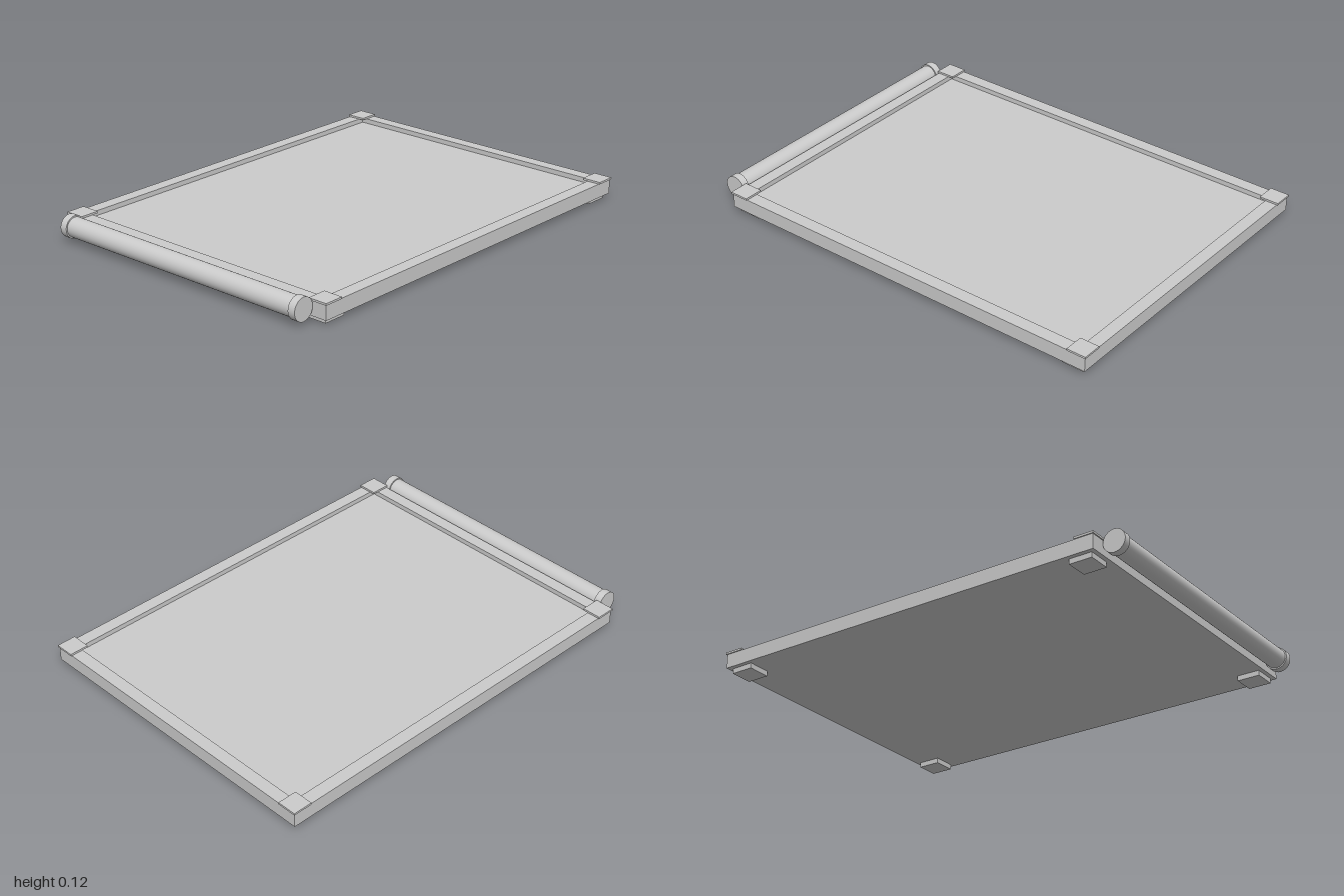
import * as THREE from 'three';

const material = new THREE.MeshStandardMaterial({ color: 0xcccccc });

function add(parent, name, geometry, x, y, z) {
  const mesh = new THREE.Mesh(geometry, material);
  mesh.name = name;
  mesh.position.set(x, y, z);
  parent.add(mesh);
  return mesh;
}

// Rectangle outline, centred on the origin
function rectangle(path, w, d) {
  path.moveTo(-w / 2, -d / 2);
  path.lineTo(w / 2, -d / 2);
  path.lineTo(w / 2, d / 2);
  path.lineTo(-w / 2, d / 2);
  path.closePath();
  return path;
}

export function createModel() {
  const group = new THREE.Group();
  group.name = 'rollerTray';

  const midZ = -0.05;      // centre of the tray, behind the roller
  const bottom = 0.023;    // underside of the tray
  const top = 0.088;       // top of the rim

  // Rim with a rectangular opening
  const rim = rectangle(new THREE.Shape(), 1.47, 1.89);
  rim.holes.push(rectangle(new THREE.Path(), 1.35, 1.775));
  const rimGeometry = new THREE.ExtrudeGeometry(rim, { depth: top - bottom, bevelEnabled: false });
  rimGeometry.rotateX(-Math.PI / 2);
  add(group, 'rim', rimGeometry, 0, bottom, midZ);

  // Recessed panel, flush with the underside
  add(group, 'panel', new THREE.BoxGeometry(1.35, 0.043, 1.775), 0, bottom + 0.0215, midZ);

  // Corner plates and feet
  const plate = new THREE.BoxGeometry(0.09, 0.009, 0.09);
  const foot = new THREE.BoxGeometry(0.105, bottom, 0.105);
  for (const sx of [-1, 1]) {
    for (const sz of [-1, 1]) {
      const corner = (sz > 0 ? 'front' : 'back') + (sx > 0 ? 'Left' : 'Right');
      add(group, corner + 'CornerPlate', plate, sx * 0.695, top + 0.0045, midZ + sz * 0.905);
      add(group, corner + 'Foot', foot, sx * 0.662, bottom / 2, midZ + sz * 0.873);
    }
  }

  // Roller along the front with a wider collar on each end
  const rollerY = 0.069, rollerZ = 0.949;
  const roller = new THREE.CylinderGeometry(0.045, 0.045, 1.3, 32).rotateZ(Math.PI / 2);
  add(group, 'roller', roller, 0, rollerY, rollerZ);
  const collar = new THREE.CylinderGeometry(0.051, 0.051, 0.035, 32).rotateZ(Math.PI / 2);
  add(group, 'leftCollar', collar, 0.652, rollerY, rollerZ);
  add(group, 'rightCollar', collar, -0.652, rollerY, rollerZ);

  return group;
}
